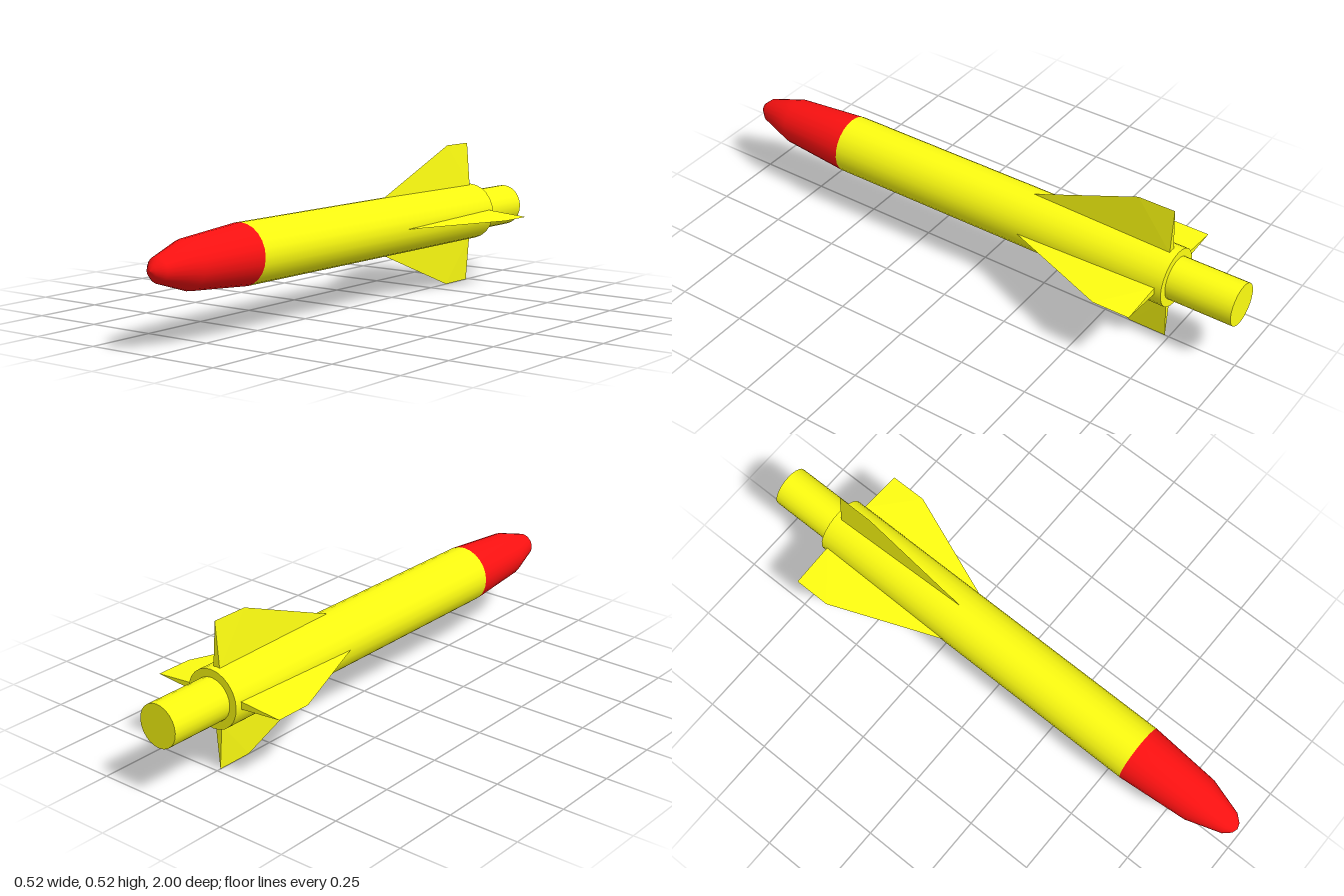
import * as THREE from 'three';

const SIDES = 24;
const AXIS_Y = 0.263;
const BODY_R = 0.104;

function makeMesh(name, geometry, material) {
  const mesh = new THREE.Mesh(geometry, material);
  mesh.name = name;
  return mesh;
}

// Capped cylinder lying along z
function tube(radius, zBack, zFront) {
  return new THREE.CylinderGeometry(radius, radius, zFront - zBack, SIDES)
    .rotateX(Math.PI / 2)
    .translate(0, 0, (zBack + zFront) / 2);
}

// Wedge fin pointing up: thick at the rear root, sharp along its leading edge and tip
function finGeometry() {
  const front = [0, 0.1, -0.19];
  const right = [-0.0135, 0.1, -0.735];
  const left = [0.0135, 0.1, -0.735];
  const tipFront = [0, 0.262, -0.6];
  const tipRear = [0, 0.262, -0.735];
  const triangles = [
    front, left, tipFront, left, tipRear, tipFront,
    front, tipFront, right, right, tipFront, tipRear,
    left, right, tipRear,
    front, right, left,
  ];
  const geometry = new THREE.BufferGeometry();
  geometry.setAttribute('position', new THREE.Float32BufferAttribute(triangles.flat(), 3));
  geometry.computeVertexNormals();
  return geometry;
}

export function createModel() {
  const yellow = new THREE.MeshStandardMaterial({ color: 0xffff11 });
  const red = new THREE.MeshStandardMaterial({ color: 0xff1111 });

  const model = new THREE.Group();
  model.name = 'rocket';
  model.position.y = AXIS_Y;
  const root = new THREE.Group();
  root.add(model);

  // Body and the narrower exhaust behind it
  model.add(makeMesh('body', tube(BODY_R, -0.76, 0.58), yellow));
  model.add(makeMesh('exhaust', tube(0.076, -1, -0.75), yellow));

  // Tapered nose cone with a blunt tip
  const profile = [
    [BODY_R, 0.58], [0.083, 0.84], [0.043, 0.967], [0.02, 0.993], [0, 1],
  ].map(([r, z]) => new THREE.Vector2(r, z));
  const nose = new THREE.LatheGeometry(profile, SIDES).rotateX(Math.PI / 2);
  model.add(makeMesh('noseCone', nose, red));

  // Four tail fins around the body
  const fin = finGeometry();
  ['topFin', 'leftFin', 'bottomFin', 'rightFin'].forEach((name, i) => {
    const mesh = makeMesh(name, fin, yellow);
    mesh.rotation.z = -i * Math.PI / 2;
    model.add(mesh);
  });

  return root;
}
